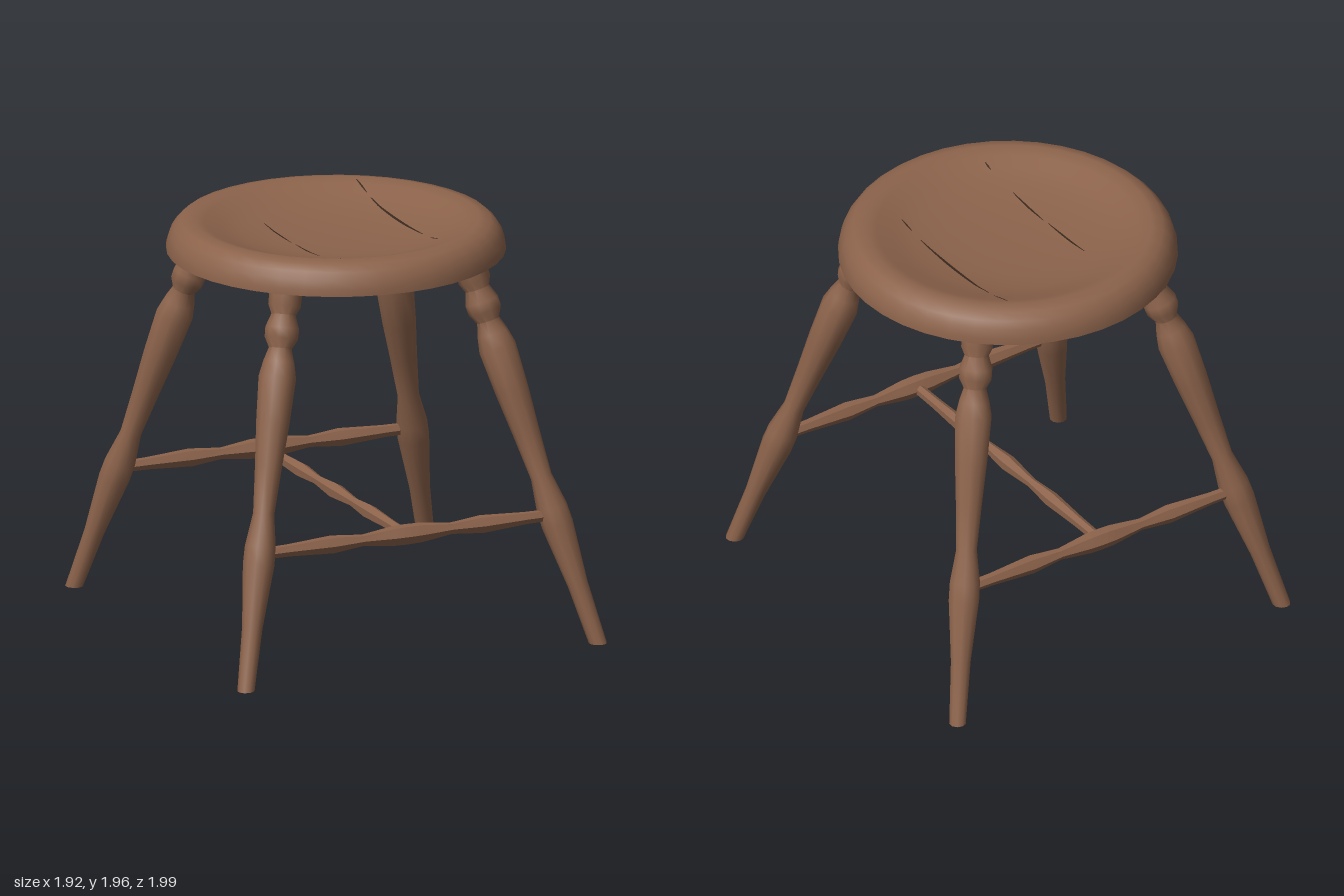
import * as THREE from 'three';
import { toCreasedNormals } from 'three/addons/utils/BufferGeometryUtils.js';

const wood = new THREE.MeshStandardMaterial({ color: 0x8c634b });
wood.name = 'brown wood';
const crackWood = new THREE.MeshStandardMaterial({ color: 0x3a281d, side: THREE.DoubleSide });
crackWood.name = 'dark crack';

const points = (list) => list.map(([r, y]) => new THREE.Vector2(r, y));

function addMesh(group, name, geometry, material = wood) {
  const mesh = new THREE.Mesh(geometry, material);
  mesh.name = name;
  group.add(mesh);
  return mesh;
}

// Dished top of the seat, listed from the rim to the centre
const dish = [[0.68, 1.962], [0.62, 1.945], [0.55, 1.918], [0.45, 1.89], [0.3, 1.87], [0.15, 1.862], [0, 1.86]];

function dishHeight(r) {
  for (let i = 0; i < dish.length - 1; i++) {
    const [r0, y0] = dish[i], [r1, y1] = dish[i + 1];
    if (r <= r0 && r >= r1) return y1 + (y0 - y1) * (r - r1) / (r0 - r1);
  }
  return dish[0][1];
}

function seatGeometry() {
  const under = [[0, 1.78], [0.5, 1.783], [0.63, 1.792], [0.66, 1.803], [0.805, 1.81]];
  const rim = [[0.803, 1.84], [0.79, 1.885], [0.768, 1.92], [0.735, 1.95]];
  return toCreasedNormals(new THREE.LatheGeometry(points([...under, ...rim, ...dish]), 40), 0.9);
}

// Thin tapering strip that follows the dish along z
function crackGeometry(x, z0, z1, width) {
  const steps = 14;
  const geometry = new THREE.PlaneGeometry(1, 1, 1, steps);
  const p = geometry.attributes.position;
  for (let i = 0; i < p.count; i++) {
    const t = 0.5 - p.getY(i);
    const px = x + p.getX(i) * width * (0.3 + 0.7 * Math.sin(Math.PI * t));
    const pz = z0 + (z1 - z0) * t;
    p.setXYZ(i, px, dishHeight(Math.hypot(px, pz)) + 0.004, pz);
  }
  geometry.computeVertexNormals();
  return geometry;
}

// Turned leg: half-width by height, leaned outward, with the foot cut level
const legProfile = [[0, 0], [0.042, 0], [0.05, 0.28], [0.077, 0.56], [0.076, 0.64], [0.052, 0.79],
  [0.066, 1.0], [0.082, 1.2], [0.092, 1.4], [0.076, 1.47], [0.056, 1.53], [0.082, 1.575], [0.083, 1.62],
  [0.06, 1.68], [0.08, 1.72], [0.081, 1.82]];

function legGeometry(sx, sz) {
  const foot = new THREE.Vector3(0.92 * sx, 0, 0.952 * sz);
  const axis = new THREE.Vector3(-0.246 * sx, 1, -0.273 * sz);
  const stretch = axis.length();
  const geometry = new THREE.LatheGeometry(points(legProfile.map(([r, y]) => [r * 0.98, y * stretch])), 10);
  const turn = new THREE.Quaternion().setFromUnitVectors(new THREE.Vector3(0, 1, 0), axis.clone().normalize());
  geometry.applyQuaternion(turn).translate(foot.x, foot.y, foot.z);
  const p = geometry.attributes.position;
  const v = new THREE.Vector3();
  for (let i = 0; i < p.count; i++) {
    if (i % legProfile.length > 1) continue;
    v.fromBufferAttribute(p, i);
    v.addScaledVector(axis, -v.y);
    p.setXYZ(i, v.x, 0, v.z);
  }
  return toCreasedNormals(geometry, 0.9);
}

// Turned stretcher along y, mirrored about its middle bulge
function stretcherGeometry(half) {
  const list = half.map(([r, d]) => [r, -d]).concat(half.slice(0, -1).reverse());
  return toCreasedNormals(new THREE.LatheGeometry(points(list), 6), 0.9);
}

export function createModel() {
  const group = new THREE.Group();
  group.name = 'stool';

  addMesh(group, 'seat', seatGeometry());

  // Splits in the seat: x, start z, end z, width
  const cracks = [[-0.24, -0.29, 0.02, 0.01], [-0.235, 0.05, 0.31, 0.01], [-0.228, 0.49, 0.54, 0.008],
    [0.36, -0.54, -0.42, 0.008], [0.357, -0.37, 0.21, 0.015], [0.353, 0.29, 0.38, 0.008]];
  for (const [x, z0, z1, w] of cracks) addMesh(group, 'seatCrack', crackGeometry(x, z0, z1, w), crackWood);

  for (const sz of [1, -1]) {
    for (const sx of [1, -1]) {
      addMesh(group, `${sz > 0 ? 'front' : 'back'}${sx > 0 ? 'Left' : 'Right'}Leg`, legGeometry(sx, sz));
    }
  }

  // Front and back stretchers, joined by one across the middle
  const sideHalf = [[0.028, 0.77], [0.03, 0.62], [0.044, 0.39], [0.028, 0.23], [0.048, 0.07], [0.05, 0]];
  for (const sz of [1, -1]) {
    const bar = addMesh(group, sz > 0 ? 'frontStretcher' : 'backStretcher', stretcherGeometry(sideHalf));
    bar.rotation.z = Math.PI / 2;
    bar.position.set(0, 0.61, 0.787 * sz);
  }
  const middleHalf = [[0.026, 0.79], [0.028, 0.6], [0.037, 0.37], [0.024, 0.2], [0.04, 0]];
  const middle = addMesh(group, 'middleStretcher', stretcherGeometry(middleHalf));
  middle.rotation.x = Math.PI / 2;
  middle.position.y = 0.607;

  return group;
}
